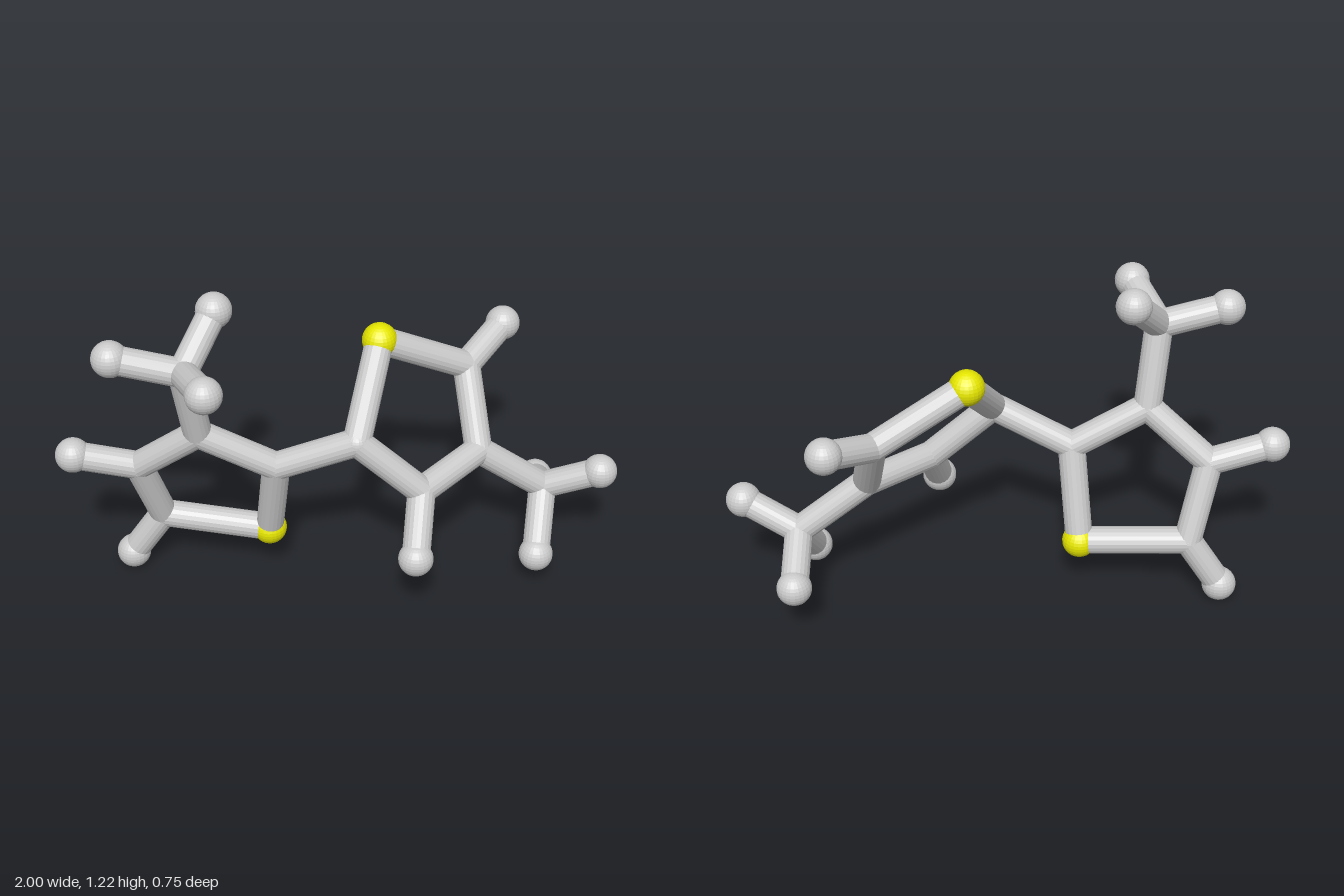
import * as THREE from 'three';

const BALL = 0.0625, ROD = 0.05;

// Atom centres: carbons are C, yellow atoms S, end balls H
const atoms = {
  // right ring
  S1: [0.155, 0.943, -0.12], C2: [0.03, 0.70, 0.135], C3: [0.255, 0.49, 0.172],
  C4: [0.50, 0.515, 0.0], C5: [0.485, 0.77, -0.175],
  H3: [0.21, 0.304, 0.315], H5: [0.65, 0.845, -0.315],
  // right end group
  C6: [0.75, 0.328, 0.005], H6a: [0.937, 0.425, 0.083],
  H6b: [0.694, 0.14, 0.167], H6c: [0.783, 0.222, -0.193],
  // left ring
  S11: [-0.257, 0.217, -0.058], C12: [-0.24, 0.567, 0.045], C13: [-0.505, 0.72, 0.02],
  C14: [-0.715, 0.535, -0.085], C15: [-0.635, 0.252, -0.162],
  H14: [-0.938, 0.596, -0.10], H15: [-0.755, 0.065, -0.193],
  // left end group
  C16: [-0.547, 1.015, 0.085], H16a: [-0.78, 1.078, 0.057],
  H16b: [-0.423, 1.165, -0.048], H16c: [-0.498, 1.073, 0.313],
};

const bonds = [
  'S1 C2', 'C2 C3', 'C3 C4', 'C4 C5', 'C5 S1', 'C3 H3', 'C5 H5',
  'C4 C6', 'C6 H6a', 'C6 H6b', 'C6 H6c',
  'C2 C12',
  'S11 C12', 'C12 C13', 'C13 C14', 'C14 C15', 'C15 S11', 'C14 H14', 'C15 H15',
  'C13 C16', 'C16 H16a', 'C16 H16b', 'C16 H16c',
];

export function createModel() {
  const model = new THREE.Group();
  model.name = 'molecule';
  const grey = new THREE.MeshStandardMaterial({ color: 0xcccccc, flatShading: true });
  const yellow = new THREE.MeshStandardMaterial({ color: 0xe6e600, flatShading: true });
  const ball = new THREE.SphereGeometry(BALL, 24, 16);
  const joint = new THREE.SphereGeometry(ROD, 24, 16);
  const up = new THREE.Vector3(0, 1, 0);

  // Balls at the atoms; carbons only round off the rod joints
  for (const [id, p] of Object.entries(atoms)) {
    const kind = id[0];
    const mesh = new THREE.Mesh(kind === 'C' ? joint : ball, kind === 'S' ? yellow : grey);
    mesh.name = { C: 'carbonJoint', S: 'sulfurBall', H: 'hydrogenBall' }[kind];
    mesh.position.set(...p);
    model.add(mesh);
  }

  // Rods between bonded atoms
  for (const pair of bonds) {
    const [a, b] = pair.split(' ').map((id) => new THREE.Vector3(...atoms[id]));
    const dir = b.clone().sub(a);
    const rod = new THREE.Mesh(new THREE.CylinderGeometry(ROD, ROD, dir.length(), 20, 1, true), grey);
    rod.name = 'bondRod';
    rod.position.copy(a).add(b).multiplyScalar(0.5);
    rod.quaternion.setFromUnitVectors(up, dir.normalize());
    model.add(rod);
  }
  return model;
}
